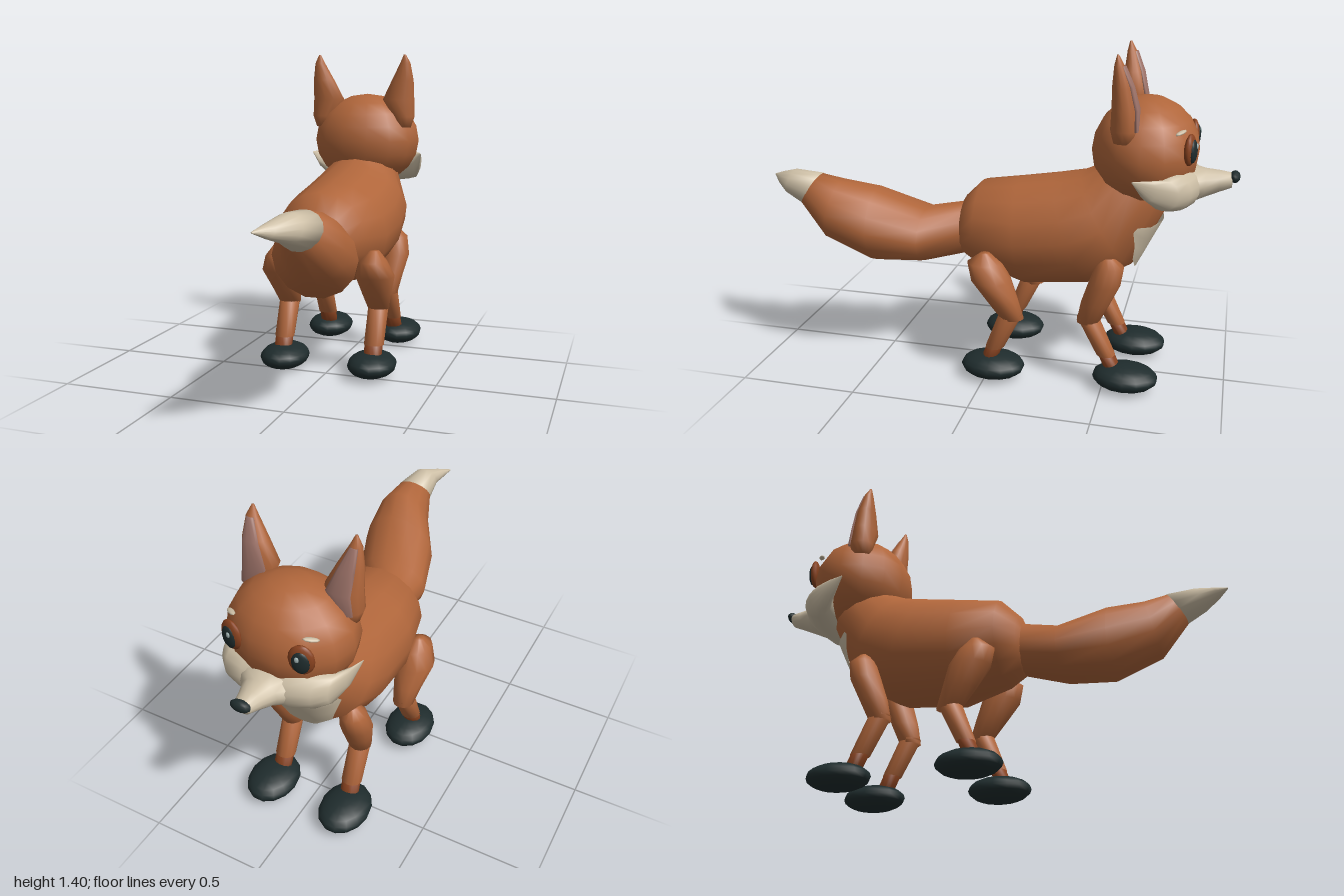
import * as THREE from 'three';

const mat = (name, color, side = THREE.FrontSide) => {
  const m = new THREE.MeshStandardMaterial({ color, side });
  m.name = name;
  return m;
};

// Ring: centre plus two half-axes.
const ring = (c, u, v) => ({ c: new THREE.Vector3(...c), u: new THREE.Vector3(...u), v: new THREE.Vector3(...v) });
const onRing = (r, a) => r.c.clone().addScaledVector(r.u, Math.cos(a)).addScaledVector(r.v, Math.sin(a));

// Smooth skin through rings; rings advance along u x v.
function loft(rings, n = 14) {
  const pos = [], idx = [];
  rings.forEach(r => {
    for (let j = 0; j < n; j++) pos.push(...onRing(r, j / n * Math.PI * 2).toArray());
  });
  const last = rings.length - 1;
  pos.push(...rings[0].c.toArray(), ...rings[last].c.toArray());
  const a = rings.length * n, b = a + 1;
  for (let j = 0; j < n; j++) {
    const k = (j + 1) % n;
    for (let i = 0; i < last; i++) {
      const p = i * n, q = p + n;
      idx.push(p + j, p + k, q + j, p + k, q + k, q + j);
    }
    idx.push(a, k, j, b, last * n + j, last * n + k);
  }
  const g = new THREE.BufferGeometry();
  g.setAttribute('position', new THREE.Float32BufferAttribute(pos, 3));
  g.setIndex(idx);
  g.computeVertexNormals();
  return g;
}

export function createModel() {
  const fox = new THREE.Group();
  fox.name = 'fox';
  const fur = mat('orange fur', 0xb0663b);
  const cream = mat('cream fur', 0xcdbfa6, THREE.DoubleSide);
  const dark = mat('dark paws', 0x1f2c2d);
  const lid = mat('brown eyelid', 0x88421f);
  const pink = mat('inner ear pink', 0xa0756b);
  const glint = mat('eye glint', 0x9fb0b0);

  const add = (name, geo, m) => {
    const mesh = new THREE.Mesh(geo, m);
    mesh.name = name;
    fox.add(mesh);
    return mesh;
  };
  const ball = (name, m, p, s, w = 14, h = 10) => {
    const mesh = add(name, new THREE.SphereGeometry(1, w, h), m);
    mesh.position.set(...p);
    mesh.scale.set(...s);
    return mesh;
  };

  // Body: each section is top y, z, bottom y, z, half-width
  const body = [
    [0.67, 0.165, 0.57, 0.165, 0.06],
    [0.75, 0.14, 0.49, 0.14, 0.13],
    [0.825, 0.065, 0.45, 0.065, 0.2],
    [0.85, -0.1, 0.39, -0.14, 0.243],
    [0.875, -0.25, 0.42, -0.42, 0.25],
    [0.895, -0.36, 0.52, -0.60, 0.238],
    [0.925, -0.43, 0.79, -0.73, 0.165],
    [0.97, -0.5, 0.9, -0.7, 0.12],
  ].map(([ty, tz, by, bz, w]) =>
    ring([0, (ty + by) / 2, (tz + bz) / 2], [w, 0, 0], [0, (by - ty) / 2, (bz - tz) / 2]));
  add('body', loft(body, 16), fur);

  // Chest patch hugging the front of the body: height fraction, half-angle
  const rows = [[-0.02, 14], [0.1, 34], [0.28, 44], [0.45, 58], [0.55, 56], [0.64, 36], [0.74, 18]];
  const pos = [], idx = [], cols = 12;
  rows.forEach(([t, w], i) => {
    for (let j = 0; j <= cols; j++) {
      const a = Math.PI / 2 + (j / cols * 2 - 1) * w * Math.PI / 180;
      const p = onRing(body[5], a).lerp(onRing(body[6], a), t);
      const out = p.clone().sub(body[5].c.clone().lerp(body[6].c, t)).normalize();
      out.z -= 0.5;
      pos.push(...p.addScaledVector(out, 0.009).toArray());
      if (i && j) {
        const q = i * (cols + 1) + j, o = q - cols - 1;
        idx.push(o - 1, o, q - 1, o, q, q - 1);
      }
    }
  });
  const patch = new THREE.BufferGeometry();
  patch.setAttribute('position', new THREE.Float32BufferAttribute(pos, 3));
  patch.setIndex(idx);
  patch.computeVertexNormals();
  add('chestPatch', patch, cream);

  // Tail, curving to one side, with a cream tip
  const tailRing = ([x, y, z, rx, ry, lean = 0]) => ring([x, y, z], [rx, 0, 0], [0, ry, lean]);
  const tail = [
    [0, 0.61, 0.08, 0.1, 0.1],
    [0.015, 0.61, 0.14, 0.115, 0.115],
    [0.065, 0.585, 0.3, 0.168, 0.118],
    [0.13, 0.635, 0.5, 0.175, 0.16],
    [0.185, 0.705, 0.67, 0.127, 0.13, -0.03],
    [0.182, 0.785, 0.78, 0.08, 0.068, -0.04],
  ];
  add('tail', loft(tail.map(tailRing)), fur);
  add('tailTip', loft([
    [0.182, 0.785, 0.775, 0.082, 0.07, -0.04],
    [0.172, 0.81, 0.88, 0.06, 0.052, -0.02],
    [0.13, 0.81, 0.95, 0.03, 0.026, -0.01],
    [0.095, 0.81, 1, 0.003, 0.003],
  ].map(tailRing)), cream);

  // Head
  ball('head', fur, [0, 1.005, -0.62], [0.258, 0.22, 0.218]);

  // Cheek mask: a band sweeping back to a point on both sides
  const cheeks = [
    [0.275, 0.935, -0.6, 0.004, 0.004], [0.255, 0.9, -0.66, 0.04, 0.035],
    [0.225, 0.878, -0.715, 0.062, 0.06], [0.18, 0.878, -0.75, 0.075, 0.07],
    [0.1, 0.873, -0.765, 0.083, 0.082],
  ];
  const band = [...cheeks.map(([x, ...r]) => [-x, ...r]), [0, 0.872, -0.77, 0.085, 0.085],
    ...cheeks.slice().reverse()];
  add('cheekMask', loft(band.map(([x, y, z, ry, rz]) => ring([x, y, z], [0, ry, 0], [0, 0, rz]))), cream);

  // Muzzle and nose
  add('muzzle', loft([
    [0.875, -0.74, 0.16, 0.08], [0.875, -0.82, 0.125, 0.072], [0.88, -0.865, 0.075, 0.058],
    [0.89, -0.92, 0.052, 0.044], [0.897, -0.97, 0.036, 0.03],
  ].map(([y, z, rx, ry]) => ring([0, y, z], [rx, 0, 0], [0, -ry, 0]))), cream);
  ball('nose', dark, [0, 0.912, -0.979], [0.042, 0.024, 0.021], 10, 8);

  for (const s of [-1, 1]) {
    const side = s > 0 ? 'left' : 'right';

    // Ears with a pink inner face
    const ear = [
      [1.07, 0.2, -0.55, 0.035, 0.04], [1.12, 0.2, -0.55, 0.053, 0.053],
      [1.2, 0.174, -0.548, 0.077, 0.052], [1.29, 0.196, -0.538, 0.053, 0.04],
      [1.37, 0.211, -0.525, 0.025, 0.02], [1.41, 0.21, -0.518, 0.005, 0.004],
    ];
    add(side + 'Ear', loft(ear.map(([y, x, z, rx, rz]) =>
      ring([s * x, y, z], [rx, 0, 0], [0, 0, -rz])), 12), fur);
    add(side + 'InnerEar', loft(ear.slice(1, 5).map(([y, x, z, rx, rz]) =>
      ring([s * x, y, z - rz + 0.004], [rx * 0.66, 0, 0], [0, 0, -0.01])), 10), pink);

    // Eye: brown rim, dark pupil, glint and pale brow
    const eye = new THREE.Group();
    eye.name = side + 'Eye';
    eye.position.set(s * 0.145, 1.045, -0.802);
    eye.rotation.y = -s * 0.25;
    fox.add(eye);
    [['rim', lid, 0, 0, 0, 0.05, 0.064, 0.02], ['pupil', dark, 0, -0.004, -0.012, 0.035, 0.048, 0.015],
      ['glint', glint, -s * 0.01, 0.016, -0.024, 0.009, 0.012, 0.005]].forEach(([n, m, x, y, z, a, b, c]) => {
      const mesh = new THREE.Mesh(new THREE.SphereGeometry(1, 14, 8), m);
      mesh.name = n;
      mesh.position.set(x, y, z);
      mesh.scale.set(a, b, c);
      eye.add(mesh);
    });
    const brow = ball(side + 'Brow', cream, [s * 0.165, 1.115, -0.765], [0.032, 0.007, 0.012], 8, 6);
    brow.rotation.set(0, -s * 0.6, -s * 0.2);

    // Legs: rings of y, x, z, rx, rz
    const legs = {
      Rear: {
        upper: [[0.575, 0.222, 0, 0.02, 0.02], [0.53, 0.215, 0.003, 0.06, 0.075],
          [0.46, 0.217, -0.025, 0.087, 0.085], [0.37, 0.212, -0.072, 0.064, 0.068],
          [0.29, 0.21, -0.115, 0.046, 0.05]],
        lower: [[0.31, 0.21, -0.11, 0.046, 0.05], [0.15, 0.21, -0.04, 0.045, 0.04]],
        ankle: [[0.155, 0.21, -0.04, 0.041, 0.035], [0.08, 0.21, -0.01, 0.041, 0.035]],
        paw: [0.205, 0.062, -0.03],
      },
      Front: {
        upper: [[0.585, 0.18, -0.51, 0.02, 0.025], [0.55, 0.18, -0.515, 0.055, 0.058],
          [0.47, 0.182, -0.495, 0.068, 0.066], [0.38, 0.172, -0.46, 0.057, 0.06],
          [0.29, 0.165, -0.43, 0.046, 0.047]],
        lower: [[0.31, 0.165, -0.43, 0.046, 0.047], [0.15, 0.165, -0.51, 0.045, 0.04]],
        ankle: [[0.155, 0.165, -0.51, 0.041, 0.035], [0.08, 0.168, -0.545, 0.041, 0.035]],
        paw: [0.178, 0.062, -0.595],
      },
    };
    for (const [end, leg] of Object.entries(legs)) {
      const tube = rows => loft(rows.map(([y, x, z, rx, rz]) => ring([s * x, y, z], [rx, 0, 0], [0, 0, rz])), 12);
      add(side + end + 'UpperLeg', tube(leg.upper), fur);
      add(side + end + 'LowerLeg', tube(leg.lower), fur);
      add(side + end + 'Ankle', tube(leg.ankle), lid);
      const [x, y, z] = leg.paw;
      ball(side + end + 'Paw', dark, [s * x, y, z], [0.107, 0.056, 0.137]);
    }
  }

  // Stand on the ground and centre
  const box = new THREE.Box3().setFromObject(fox);
  const c = box.getCenter(new THREE.Vector3());
  fox.children.forEach(o => { o.position.y -= box.min.y; o.position.z -= c.z; });
  return fox;
}
